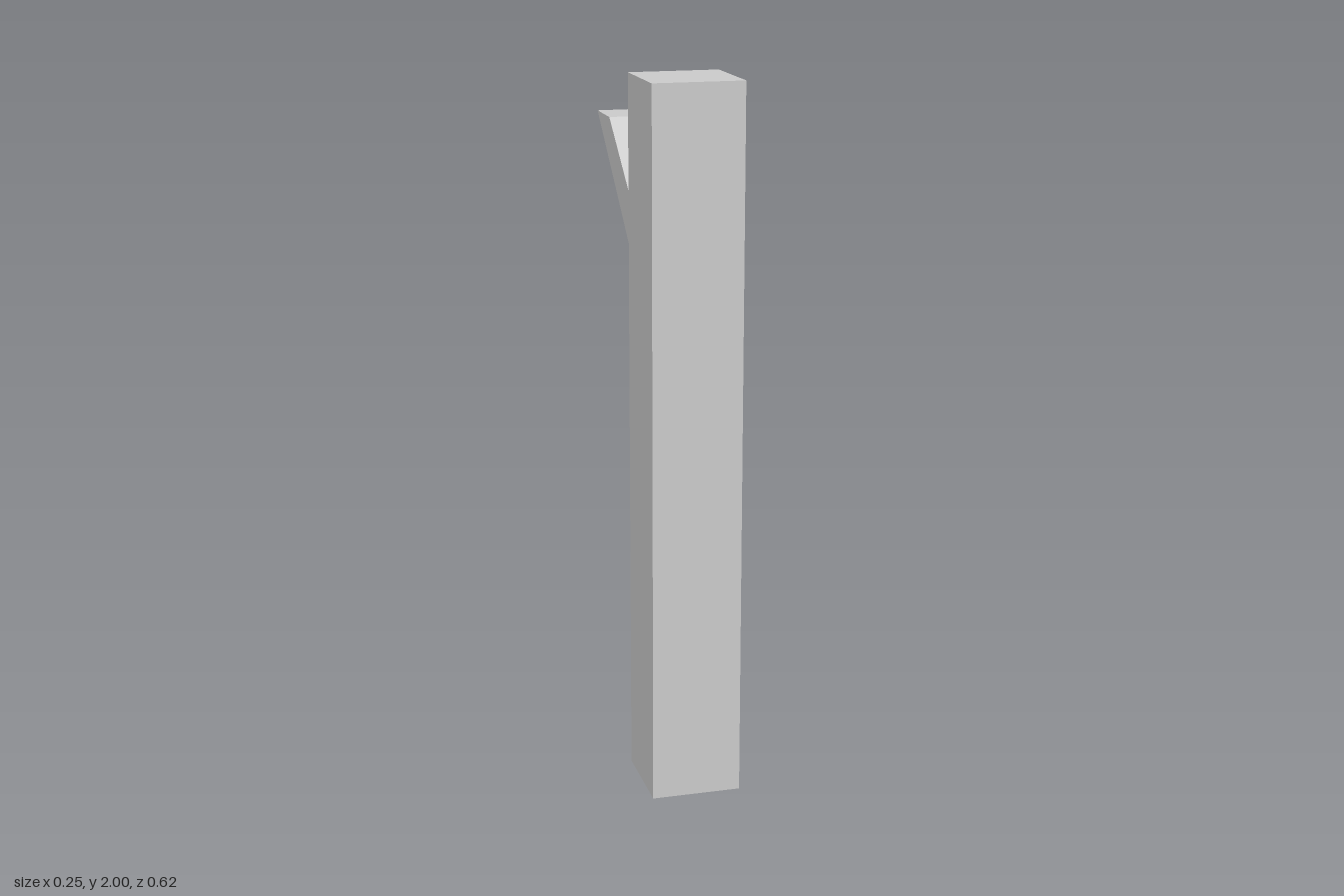
import * as THREE from 'three';

const HALF = 0.126; // half the width in x

// Side outline as [z, y]: up the front, over the top, down the back around the branch
const OUTLINE = [
  [0.31, 0], [0.31, 2], [0.055, 2], [0.055, 1.852], [0.055, 1.682],
  [-0.165, 1.852], [-0.31, 1.852], [0.055, 1.538], [0.055, 0],
];
const OPENING = 2; // outline edge left open: the window at the top of the back

export function createModel() {
  const group = new THREE.Group();
  const material = new THREE.MeshStandardMaterial({
    color: 0xcccccc, flatShading: true, side: THREE.DoubleSide,
  });

  const add = (name, geometry) => {
    const mesh = new THREE.Mesh(geometry, material);
    mesh.name = name;
    group.add(mesh);
    return mesh;
  };

  // Flat side walls, post and branch in one outline
  for (const s of [1, -1]) {
    const shape = new THREE.Shape(OUTLINE.map(([z, y]) => new THREE.Vector2(-s * z, y)));
    const wall = new THREE.ShapeGeometry(shape).rotateY(s * Math.PI / 2);
    add(s > 0 ? 'leftWall' : 'rightWall', wall).position.x = s * HALF;
  }

  // Panels spanning the width along every outline edge except the opening
  const positions = [];
  OUTLINE.forEach(([z0, y0], i) => {
    if (i === OPENING) return;
    const [z1, y1] = OUTLINE[(i + 1) % OUTLINE.length];
    positions.push(
      -HALF, y0, z0, HALF, y0, z0, HALF, y1, z1,
      -HALF, y0, z0, HALF, y1, z1, -HALF, y1, z1,
    );
  });
  const panels = new THREE.BufferGeometry();
  panels.setAttribute('position', new THREE.Float32BufferAttribute(positions, 3));
  panels.computeVertexNormals();
  add('postAndBranchPanels', panels);

  return group;
}
